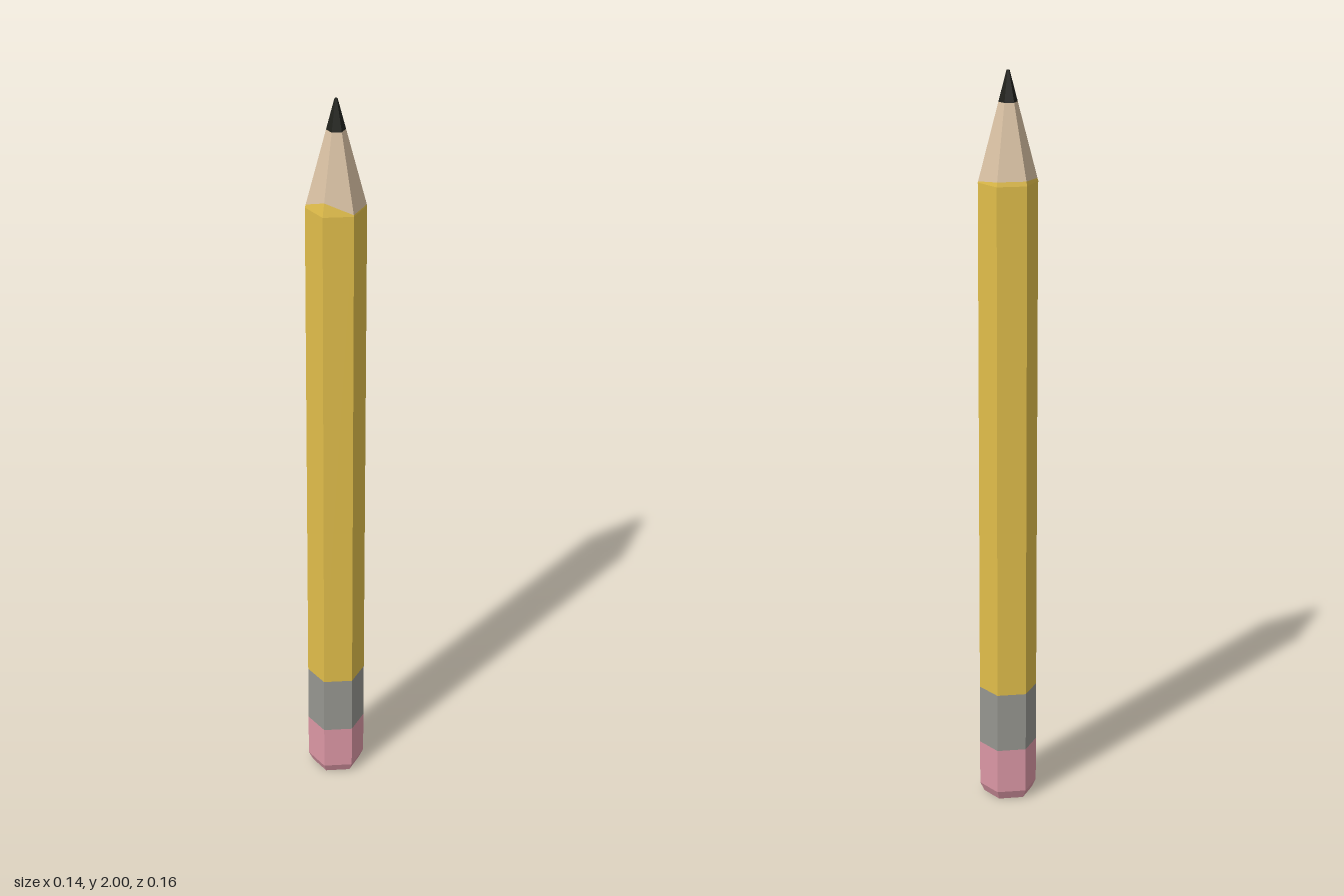
import * as THREE from 'three';

const SHOULDER = 1.715, RADIUS = 0.078, TIP_Y = 2, TIP_R = 0.004;

// radius of the sharpened cone at height y
const coneRadius = (y) =>
  RADIUS + (TIP_R - RADIUS) * (y - SHOULDER) / (TIP_Y - SHOULDER);

// hexagonal section with flat faces; corners point along +z and -z
function hexSection(name, material, y0, y1, r0, r1, open = true, reshape) {
  let geo = new THREE.CylinderGeometry(r1, r0, y1 - y0, 6, 1, open);
  geo.translate(0, (y0 + y1) / 2, 0);
  if (reshape) reshape(geo.attributes.position);
  geo = geo.toNonIndexed();
  geo.computeVertexNormals();
  const mesh = new THREE.Mesh(geo, material);
  mesh.name = name;
  return mesh;
}

export function createModel() {
  const mat = (name, color) => {
    const m = new THREE.MeshStandardMaterial({ color });
    m.name = name;
    return m;
  };
  const yellow = mat('yellow paint', 0xe2bf4b);
  const pink = mat('pink rubber', 0xdd98a6);
  const grey = mat('grey metal', 0x979791);
  const wood = mat('bare wood', 0xdac2a4);
  const black = mat('black graphite', 0x20211c);

  // uneven paint edge: how far the paint runs up the cone at each corner
  const rise = [0.035, 0.004, 0.003, 0.012, 0.012, 0.008];
  const paintEdge = (isTop) => (pos) => {
    for (let i = 0; i < 7; i++) {
      const v = isTop ? i : i + 7; // top ring comes first
      const y = SHOULDER + rise[i % 6], r = coneRadius(y), a = i * Math.PI / 3;
      pos.setXYZ(v, r * Math.sin(a), y, r * Math.cos(a));
    }
  };

  const group = new THREE.Group();
  group.name = 'pencil';
  const leadY = 1.92, leadR = coneRadius(leadY);
  group.add(
    // eraser with a bevelled end
    hexSection('eraserBevel', pink, 0, 0.025, 0.066, RADIUS, false),
    hexSection('eraser', pink, 0.025, 0.15, RADIUS, RADIUS),
    hexSection('ferrule', grey, 0.15, 0.315, RADIUS, RADIUS),
    hexSection('body', yellow, 0.315, SHOULDER, RADIUS, RADIUS),
    // sharpened end
    hexSection('paintEdge', yellow, SHOULDER, 1.75, RADIUS, RADIUS, true, paintEdge(true)),
    hexSection('sharpenedWood', wood, SHOULDER, leadY, RADIUS, leadR, true, paintEdge(false)),
    hexSection('lead', black, leadY, TIP_Y, leadR, TIP_R, false),
  );
  return group;
}
